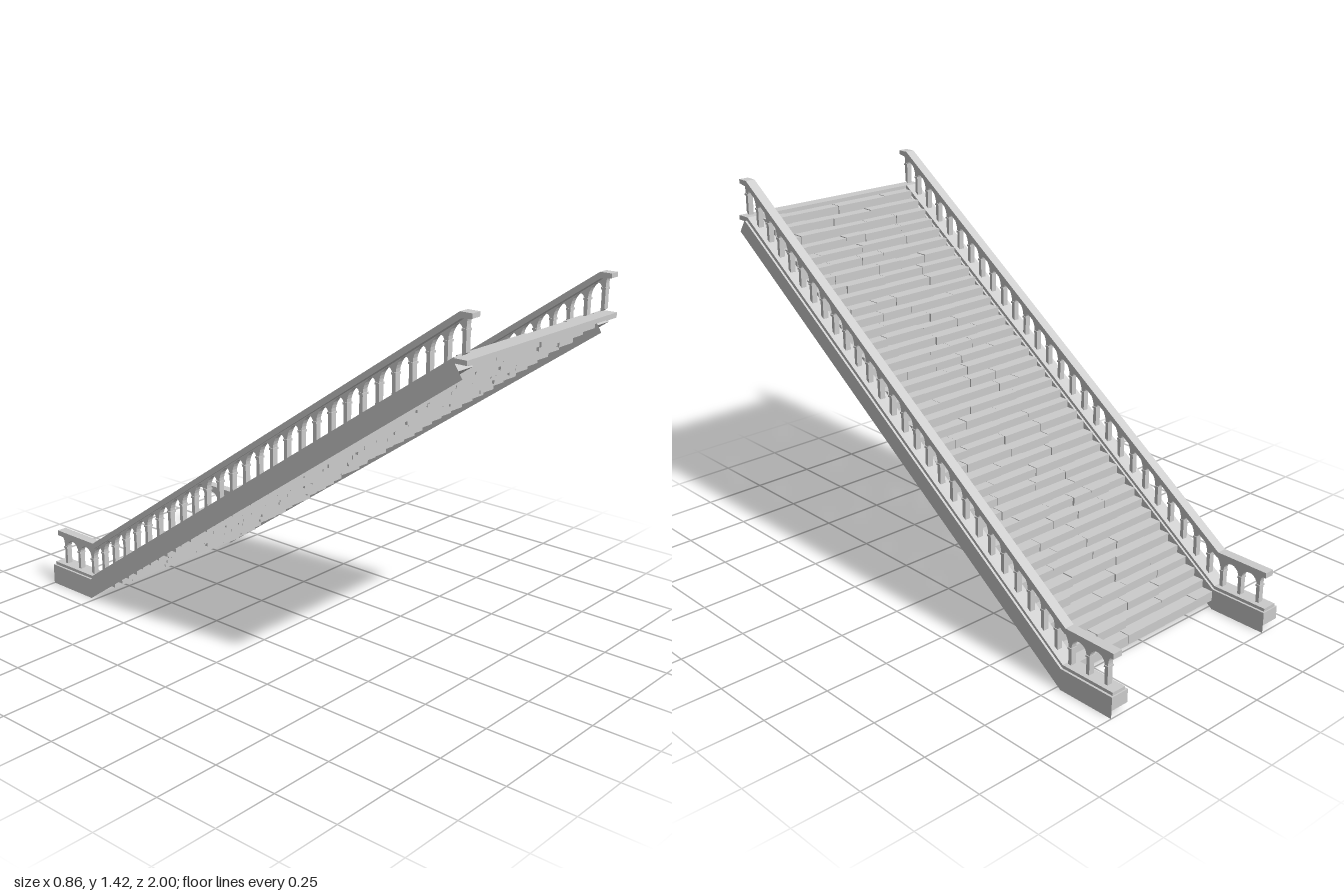
import * as THREE from 'three';

const SLOPE = 0.69;
const stone = new THREE.MeshStandardMaterial({ color: 0xcccccc, flatShading: true });

// small seeded generator for the uneven stones
let seed = 7;
const rnd = () => (seed = (seed * 16807) % 2147483647) / 2147483647;

const polygon = pts => new THREE.Shape(pts.map(([z, y]) => new THREE.Vector2(z, y)));

// extrude a side profile drawn in (z, y) by a width centred on x = 0
function sideExtrude(shape, width) {
  const g = new THREE.ExtrudeGeometry(shape, { depth: width, bevelEnabled: false, curveSegments: 8 });
  return g.translate(0, 0, -width / 2).rotateY(-Math.PI / 2);
}

function add(parent, name, geometry, x = 0, y = 0, z = 0) {
  const m = new THREE.Mesh(geometry, stone);
  m.name = name;
  m.position.set(x, y, z);
  parent.add(m);
  return m;
}

// row of arches on thin posts; the arches are sheared to follow the slope
function arcadeShape(z0, z1, bays, baseY, slope, low, high) {
  const POST = 0.014, H = 0.117, SPRING = 0.07, CROWN = 0.105;
  const y = (z, h) => baseY + slope * (z - z0) + h;
  const pitch = (z1 - z0) / bays, r = (pitch - POST) / 2;
  const pts = [];
  // bracket under the low overhang
  if (low) for (let i = 0; i <= 5; i++) {
    const a = i / 5 * Math.PI / 2, z = z0 - POST / 2 - low * (1 - Math.sin(a));
    pts.push([z, y(z, H - 0.035 * (1 - Math.cos(a)))]);
  }
  else pts.push([z0 - POST / 2, y(z0 - POST / 2, H)]);
  pts.push([z0 - POST / 2, y(z0 - POST / 2, -0.004)]);
  for (let b = 0; b < bays; b++) {
    const c = z0 + (b + 0.5) * pitch;
    pts.push([c - r, y(c - r, -0.004)]);
    for (let i = 0; i <= 10; i++) {
      const a = Math.PI * (1 - i / 10), z = c + r * Math.cos(a);
      pts.push([z, y(z, SPRING + (CROWN - SPRING) * Math.sin(a))]);
    }
    pts.push([c + r, y(c + r, -0.004)]);
  }
  const e = z1 + POST / 2;
  pts.push([e, y(e, -0.004)]);
  // bracket under the high overhang
  if (high) for (let i = 5; i >= 0; i--) {
    const a = i / 5 * Math.PI / 2;
    pts.push([e + high * (1 - Math.sin(a)), y(e, H - 0.035 * (1 - Math.cos(a)))]);
  }
  else pts.push([e, y(e, H)]);
  return polygon(pts);
}

function createSide() {
  const side = new THREE.Group();
  // sloped beam with a level foot, its underside recessed
  add(side, 'stringer', sideExtrude(polygon([
    [-1, 0.03], [-0.78, 0.03], [0.968, 1.242], [0.95, 1.267], [-0.77, 0.08], [-1, 0.08]]), 0.075));

  // thin cheeks that hang below the recessed underside
  const cheek = polygon([[-1, 0], [-0.77, 0], [0.985, 1.22], [0.953, 1.268], [-0.77, 0.08], [-1, 0.08]]);
  for (const s of [-1, 1]) {
    const g = new THREE.ShapeGeometry(cheek).rotateY(-Math.PI / 2);
    if (s > 0) {
      // turn the face outward on the other side
      const ix = g.index.array;
      for (let i = 0; i < ix.length; i += 3) [ix[i], ix[i + 1]] = [ix[i + 1], ix[i]];
      g.computeVertexNormals();
    }
    add(side, 'stringerCheek', g, s * 0.0382);
  }

  // narrower plinth that carries the arches
  add(side, 'plinth', sideExtrude(polygon([
    [-0.995, 0.075], [-0.77, 0.075], [0.95, 1.262], [1, 1.262], [1, 1.28], [0.945, 1.28],
    [-0.77, 0.092], [-0.995, 0.092]]), 0.058));

  // balustrade arches, sloped run and level run
  add(side, 'slopedArcade', sideExtrude(arcadeShape(-0.785, 0.968, 27, 0.083, SLOPE, 0, 0.02), 0.022));
  add(side, 'levelArcade', sideExtrude(arcadeShape(-0.948, -0.785, 2, 0.09, 0, 0.025, 0), 0.022));

  // small capitals at the springing of the arches
  for (let i = 0; i <= 27; i++) {
    const z = -0.785 + i * 1.753 / 27;
    add(side, 'capital', new THREE.BoxGeometry(0.028, 0.007, 0.018), 0, 0.083 + SLOPE * (z + 0.785) + 0.07, z);
  }
  for (const z of [-0.948, -0.8665])
    add(side, 'capital', new THREE.BoxGeometry(0.028, 0.007, 0.018), 0, 0.16, z);

  // handrail with level ends
  add(side, 'handrail', sideExtrude(polygon([
    [-0.985, 0.205], [-0.765, 0.205], [0.958, 1.396], [1, 1.402], [1, 1.418], [0.955, 1.418],
    [-0.77, 0.226], [-0.985, 0.226]]), 0.039));
  return side;
}

export function createModel() {
  const model = new THREE.Group();
  model.name = 'staircase';

  for (const s of [-1, 1]) {
    const side = createSide();
    side.name = s > 0 ? 'leftBalustrade' : 'rightBalustrade';
    side.position.x = s * 0.392;
    model.add(side);
  }

  // steps, each laid from a few uneven stone blocks
  const steps = new THREE.Group();
  steps.name = 'steps';
  model.add(steps);
  const N = 39, W = 0.355, run = 1.72 / N, rise = 1.225 / N;
  for (let i = 0; i < N; i++) {
    let x = -W;
    while (x < W - 0.001) {
      let len = 0.09 + rnd() * 0.15;
      if (W - x - len < 0.08) len = W - x;
      const h = rise + 0.002 + rnd() * 0.004, d = run + 0.008 + rnd() * 0.008;
      const top = 0.042 + (i + 1) * rise - rnd() * 0.003;
      const front = -0.77 + i * run + (rnd() - 0.5) * 0.008;
      add(steps, 'stepStone', new THREE.BoxGeometry(len - 0.001, h, d),
        x + len / 2, top - h / 2, front + d / 2);
      x += len;
    }
  }

  // landing slab across the head of the stairs
  add(model, 'landingSlab', new THREE.BoxGeometry(0.845, 0.016, 0.05), -0.0075, 1.272, 0.975);
  return model;
}
